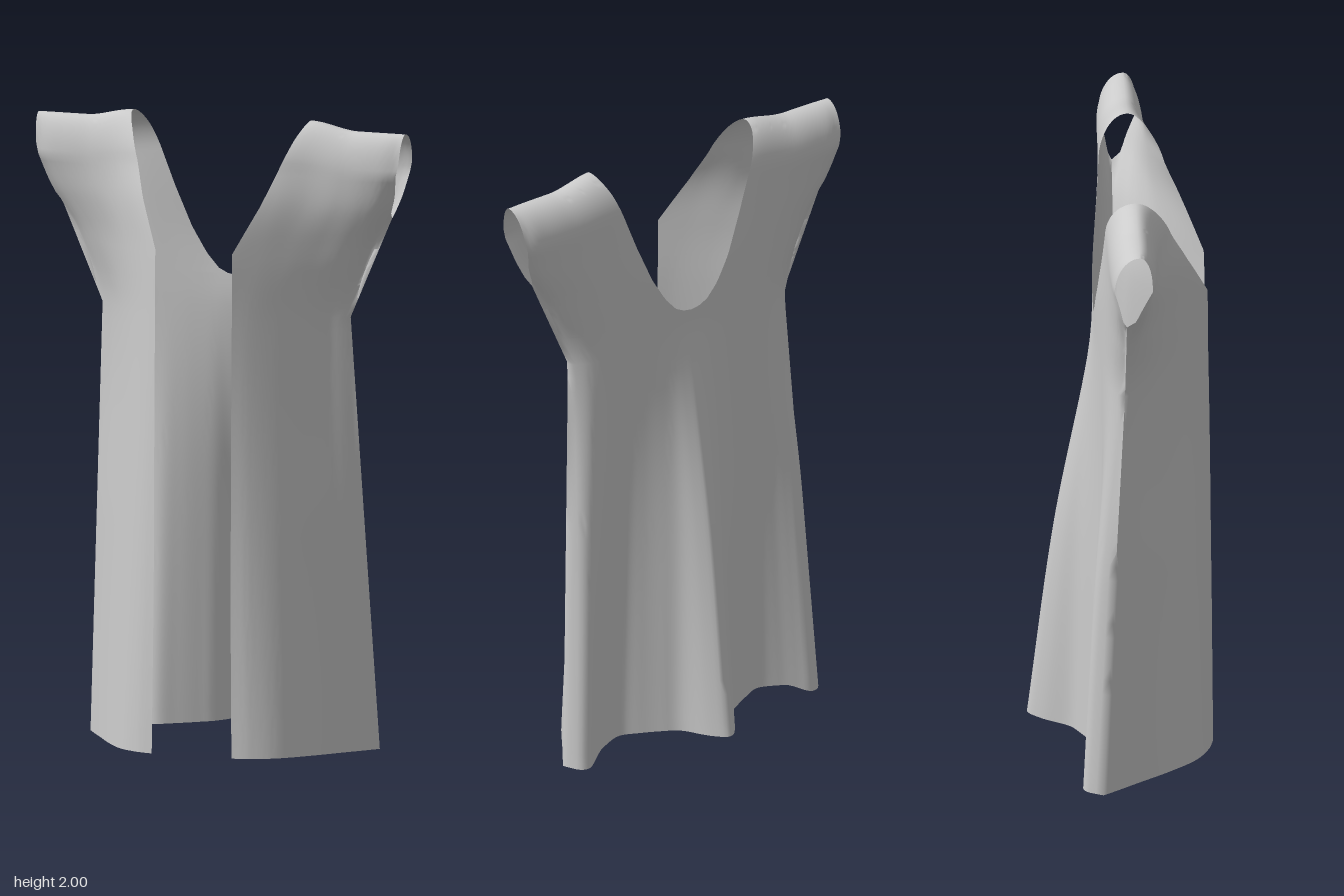
import * as THREE from 'three';
import { mergeGeometries, toCreasedNormals } from 'three/addons/utils/BufferGeometryUtils.js';

const { lerp, smoothstep, clamp } = THREE.MathUtils;

// Smooth curve through (xs, ys); flat makes the first tangent level
function spline(xs, ys, x, flat = false) {
  const n = xs.length - 1;
  let i = 0;
  while (i < n - 1 && x > xs[i + 1]) i++;
  const tangent = (k) => {
    if (flat && k === 0) return 0;
    const a = Math.max(k - 1, 0), b = Math.min(k + 1, n);
    return (ys[b] - ys[a]) / (xs[b] - xs[a]);
  };
  const h = xs[i + 1] - xs[i], t = clamp((x - xs[i]) / h, 0, 1), t2 = t * t, t3 = t2 * t;
  return (2 * t3 - 3 * t2 + 1) * ys[i] + (t3 - 2 * t2 + t) * h * tangent(i)
    + (3 * t2 - 2 * t3) * ys[i + 1] + (t3 - t2) * h * tangent(i + 1);
}

// Straight segments through [y, x] pairs
function polyline(points, y) {
  for (let i = 1; i < points.length; i++) {
    const [y0, x0] = points[i - 1], [y1, x1] = points[i];
    if (y <= y1) return lerp(x0, x1, (y - y0) / (y1 - y0));
  }
  return points[points.length - 1][1];
}

// Outer edge: side seam, underarm and sleeve opening
const outerEdge = [[0, 0.49], [1.38, 0.42], [1.7, 0.56], [1.78, 0.588], [1.9, 0.613], [2, 0.62]];

// Depth of the cloth at several heights, across each panel as a fraction of its half width
const heights = [0, 0.7, 1.38, 1.6, 1.75, 1.86];
const halfWidths = [0.49, 0.455, 0.43, 0.5, 0.58, 0.605];

// Front panel: rounded chest that steps back to the sleeve
const front = {
  inner: [[0, 0.135], [0.5, 0.13], [1.6, 0.13], [1.75, 0.2], [1.86, 0.24], [1.95, 0.275], [2, 0.3]],
  across: [0.26, 0.4, 0.55, 0.7, 0.85, 0.93, 1],
  depth: [
    [0.29, 0.272, 0.227, 0.14, 0.035, -0.02, -0.07],
    [0.287, 0.257, 0.203, 0.125, 0.045, 0.005, -0.035],
    [0.287, 0.24, 0.18, 0.115, 0.05, 0.024, 0],
    [0.27, 0.212, 0.152, 0.1, 0.06, 0.037, 0],
    [0.235, 0.182, 0.13, 0.1, 0.079, 0.064, 0.035],
    [0.19, 0.15, 0.115, 0.1, 0.094, 0.089, 0.079],
  ],
};

// Back with a centre pleat, a fold near each side and a scooped neck
const back = {
  inner: [[0, 0], [1.475, 0], [1.48, 0.03], [1.495, 0.06], [1.54, 0.1], [1.62, 0.147],
    [1.75, 0.2], [1.86, 0.24], [1.95, 0.275], [2, 0.3]],
  across: [0, 0.1, 0.2, 0.3, 0.42, 0.55, 0.7, 0.8, 0.88, 0.95, 1],
  depth: [
    [-0.29, -0.245, -0.162, -0.126, -0.092, -0.064, -0.088, -0.113, -0.132, -0.12, -0.07],
    [-0.205, -0.18, -0.137, -0.11, -0.083, -0.063, -0.074, -0.087, -0.094, -0.078, -0.035],
    [-0.087, -0.086, -0.084, -0.08, -0.073, -0.065, -0.056, -0.047, -0.036, -0.018, 0],
    [-0.082, -0.082, -0.08, -0.076, -0.07, -0.061, -0.051, -0.042, -0.032, -0.018, 0],
    [-0.07, -0.07, -0.068, -0.065, -0.061, -0.055, -0.049, -0.044, -0.038, -0.03, -0.015],
    [-0.057, -0.057, -0.057, -0.056, -0.055, -0.053, -0.051, -0.05, -0.048, -0.046, -0.04],
  ],
};

// Row heights, denser at the neck and around the shoulder
const rows = [0.005];
const addRows = (to, count, ease) => {
  const from = rows[rows.length - 1];
  for (let i = 1; i <= count; i++) rows.push(lerp(from, to, ease(i / count)));
};
addRows(1.38, 28, (t) => t);
addRows(1.475, 3, (t) => t);
addRows(1.6, 10, (t) => t * t);
addRows(1.7, 4, (t) => t);
addRows(1.86, 7, (t) => t);
addRows(2, 12, (t) => Math.sin(t * Math.PI / 2));

// One half of the front or back, up to the shoulder line
function panel(part, side) {
  const isBack = part === back, columns = 48, positions = [], index = [];
  rows.forEach((y, r) => {
    const bodyY = Math.min(y, 1.86), width = spline(heights, halfWidths, bodyY);
    for (let c = 0; c <= columns; c++) {
      const u = c / columns;
      const x = lerp(polyline(part.inner, y), polyline(outerEdge, y), u);
      let z = spline(heights, part.depth.map((row) => spline(part.across, row, x / width, isBack)), bodyY);
      if (c === columns && y <= 1.7001) z = lerp(-0.07, 0, Math.min(y / 1.38, 1)); // closed seam
      if (y > 1.86) { // rolls over the shoulder
        const k = Math.min((y - 1.86) / 0.14, 1);
        z = 0.038 + (z - 0.038) * Math.sqrt(1 - k ** (isBack ? 2 : lerp(1.5, 2.4, u)));
      }
      const drop = 0.025 * smoothstep(u, 0, 0.5) * Math.max(0, (y - 1.7) / 0.3);
      const lift = isBack ? (0.025 + 0.02 * (1 - u)) * smoothstep(1 - u, 0.1, 0.28) * Math.max(0, 1 - y / 1.38) : 0;
      positions.push(side * x, y - drop + lift, z);
      if (r && c) {
        const d = r * (columns + 1) + c, a = d - columns - 2, b = a + 1, e = d - 1;
        if (isBack === (side < 0)) index.push(a, b, d, a, d, e);
        else index.push(a, d, b, a, e, d);
      }
    }
  });
  const geometry = new THREE.BufferGeometry();
  geometry.setAttribute('position', new THREE.Float32BufferAttribute(positions, 3));
  geometry.setIndex(index);
  return geometry;
}

export function createModel() {
  const group = new THREE.Group();
  group.name = 'openVest';
  // All panels share one cloth so shading flows over shoulders and the back centre
  const panels = [1, -1].flatMap((side) => [panel(front, side), panel(back, side)]);
  const cloth = new THREE.Mesh(
    toCreasedNormals(mergeGeometries(panels), 1.2),
    new THREE.MeshStandardMaterial({ color: 0xcccccc, side: THREE.DoubleSide }),
  );
  cloth.name = 'vestCloth';
  group.add(cloth);
  return group;
}
